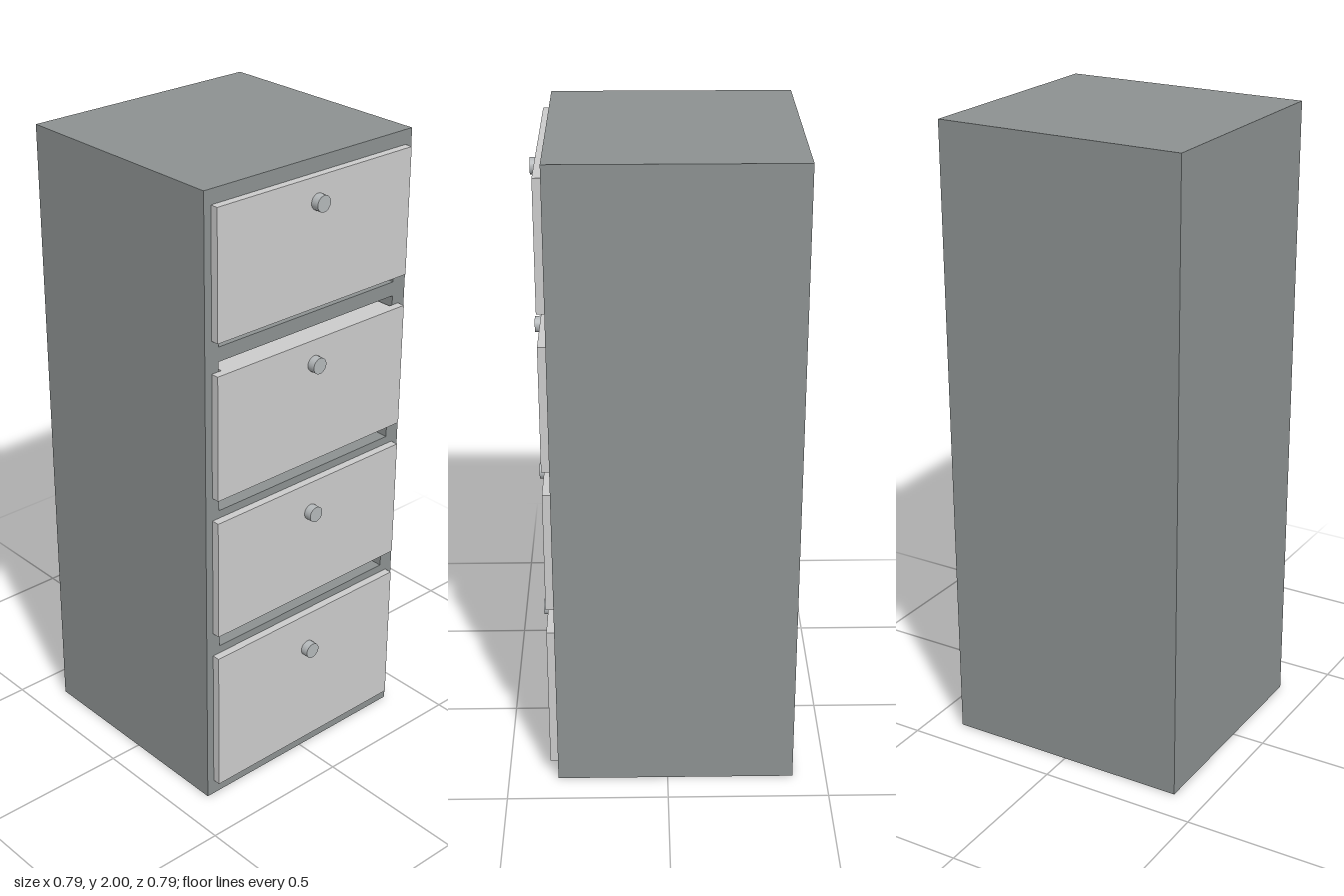
import * as THREE from 'three';

const cabinetMat = new THREE.MeshStandardMaterial({ color: 0x8c9191 });
const drawerMat = new THREE.MeshStandardMaterial({ color: 0xcccccc });
const knobMat = new THREE.MeshStandardMaterial({ color: 0xb4b8ba });

const HALF = 0.395, FRONT = 0.345, BACK_INNER = -0.35, OPEN_HALF = 0.345;

// y ranges of each opening and drawer front, and knob height, bottom to top
const BAYS = [
  { open: [0.07, 0.5], front: [0.05, 0.52], knob: 0.395 },
  { open: [0.545, 0.97], front: [0.6, 0.99], knob: 0.89 },
  { open: [1.015, 1.49], front: [1.065, 1.46], knob: 1.385 },
  { open: [1.535, 1.94], front: [1.56, 1.955], knob: 1.88 },
];

function rect(path, x, y0, y1) {
  path.moveTo(-x, y0);
  path.lineTo(x, y0);
  path.lineTo(x, y1);
  path.lineTo(-x, y1);
  path.closePath();
  return path;
}

function box(name, mat, x, [y0, y1], [z0, z1]) {
  const mesh = new THREE.Mesh(new THREE.BoxGeometry(2 * x, y1 - y0, z1 - z0), mat);
  mesh.position.set(0, (y0 + y1) / 2, (z0 + z1) / 2);
  mesh.name = name;
  return mesh;
}

function createDrawer({ open, front, knob }) {
  const drawer = new THREE.Group();
  drawer.name = 'drawer';
  drawer.add(box('drawerFront', drawerMat, 0.37, front, [FRONT, 0.37]));
  // body sliding inside the opening
  const body = [Math.max(front[0], open[0] + 0.01), Math.min(front[1], open[1] - 0.01)];
  drawer.add(box('drawerBody', drawerMat, 0.335, body, [-0.3, FRONT]));
  // round knob
  const k = new THREE.Mesh(new THREE.CylinderGeometry(0.025, 0.025, 0.025, 24), knobMat);
  k.rotation.x = Math.PI / 2;
  k.position.set(0, knob, 0.3825);
  k.name = 'knob';
  drawer.add(k);
  return drawer;
}

export function createModel() {
  const model = new THREE.Group();
  model.name = 'drawerCabinet';

  // carcass with four openings
  const outline = rect(new THREE.Shape(), HALF, 0, 2);
  for (const { open } of BAYS) outline.holes.push(rect(new THREE.Path(), OPEN_HALF, ...open));
  const carcass = new THREE.Mesh(
    new THREE.ExtrudeGeometry(outline, { depth: FRONT - BACK_INNER, bevelEnabled: false }),
    cabinetMat
  );
  carcass.position.z = BACK_INNER;
  carcass.name = 'carcass';
  model.add(carcass);

  model.add(box('backPanel', cabinetMat, HALF, [0, 2], [-HALF, BACK_INNER]));

  for (const bay of BAYS) model.add(createDrawer(bay));
  return model;
}
